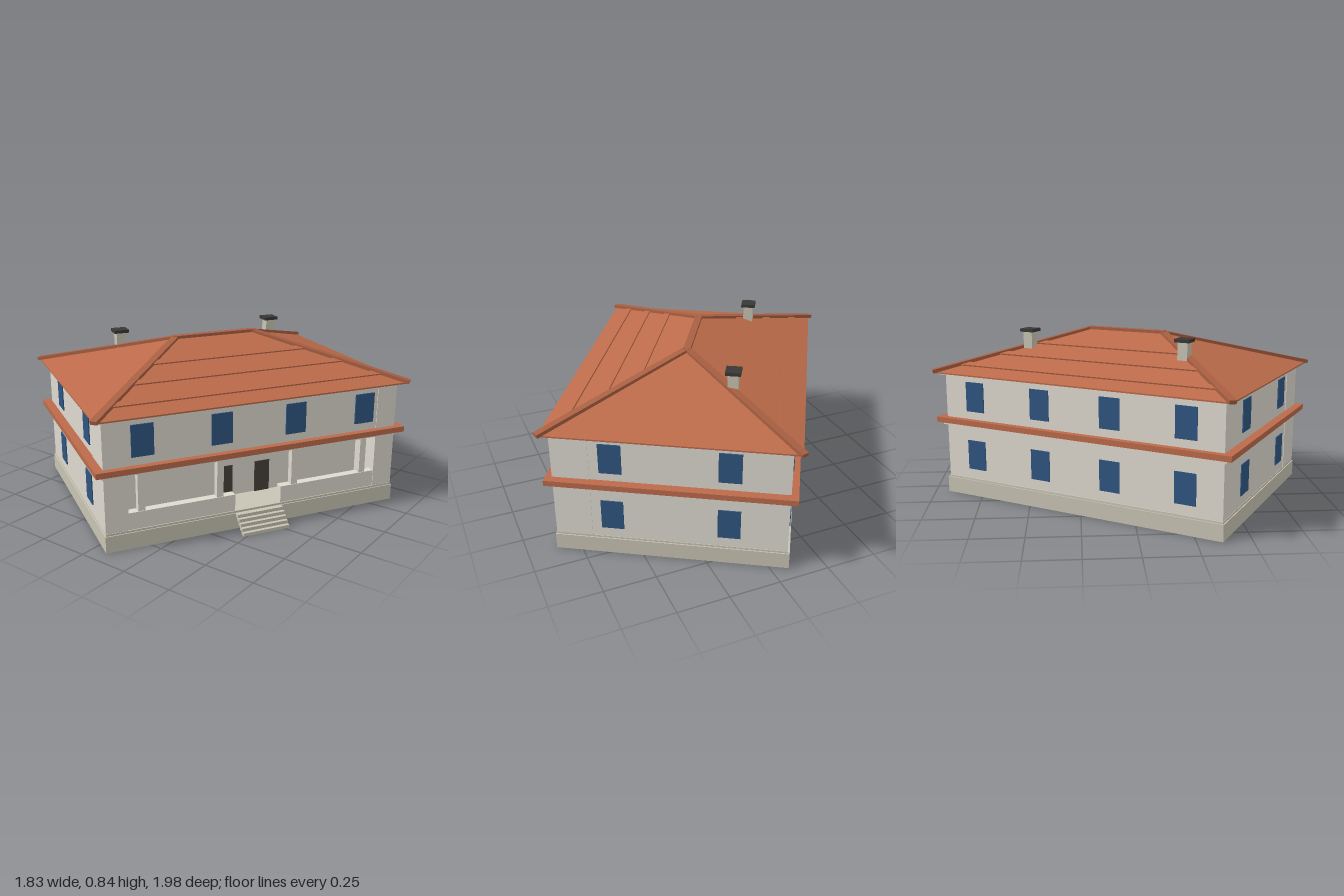
import * as THREE from 'three';

const mat = (color) => new THREE.MeshStandardMaterial({ color, flatShading: true });

export function createModel() {
  const wall = mat(0xdedad0), stone = mat(0xc8c4b4), tile = mat(0xbc6b4a), ridgeTile = mat(0xa85f42);
  const glass = mat(0x2f5580), wood = mat(0x46403a), dark = mat(0x3a3836);
  const house = new THREE.Group();
  house.name = 'house';

  // Box given by its centre in x and z, its bottom and its size
  const box = (name, m, x, y, z, w, h, d) => {
    const mesh = new THREE.Mesh(new THREE.BoxGeometry(w, h, d), m);
    mesh.name = name;
    mesh.position.set(x, y + h / 2, z);
    house.add(mesh);
    return mesh;
  };

  // Square beam between two points
  const beam = (name, m, a, b, w, h) => {
    const mesh = new THREE.Mesh(new THREE.BoxGeometry(w, h, a.distanceTo(b)), m);
    mesh.name = name;
    mesh.position.copy(a).add(b).multiplyScalar(0.5);
    mesh.lookAt(b);
    house.add(mesh);
  };

  // Foundation
  box('foundation', stone, 0, 0, 0, 1.514, 0.08, 1.1);
  box('foundationTop', stone, 0, 0.08, 0, 1.504, 0.01, 1.09);

  // Walls: the ground floor is set back behind the porch
  const HX = 0.75, HZ = 0.54, PORCH = 0.369, WING = 0.645;
  box('groundFloor', wall, 0, 0.09, (PORCH - HZ) / 2, HX * 2, 0.28, HZ + PORCH);
  box('upperFloor', wall, 0, 0.36, 0, HX * 2, 0.265, HZ * 2);
  for (const s of [-1, 1]) {
    box('cornerWing', wall, s * (HX + WING + 0.003) / 2, 0.09, (HZ + PORCH + 0.003) / 2,
      HX - WING + 0.003, 0.53, HZ - PORCH + 0.003);
  }

  // Belt between the floors
  box('beltTrim', wall, 0, 0.36, 0, 1.53, 0.015, 1.11);
  box('beltRoof', tile, 0, 0.373, 0, 1.585, 0.027, 1.147);

  // Porch: parapets, columns and doors
  for (const s of [-1, 1]) {
    box('parapet', wall, s * (WING + 0.12) / 2, 0.09, 0.52, WING - 0.12, 0.083, 0.04);
    for (const x of [0.195, 0.58]) box('porchColumn', wall, s * x, 0.17, 0.52, 0.033, 0.195, 0.033);
    box('door', wood, s * 0.1, 0.09, PORCH, 0.08, 0.16, 0.01);
  }

  // Entrance steps
  for (let i = 0; i < 5; i++) {
    box('step', stone, 0, 0.064 - i * 0.016, 0.557 + i * 0.0175, 0.24, 0.016, 0.03);
  }

  // Windows
  for (const y of [0.14, 0.44]) {
    for (const s of [-1, 1]) {
      for (const x of [0.19, 0.57]) {
        box('backWindow', glass, s * x, y, -HZ, 0.105, 0.15, 0.01);
        if (y > 0.4) box('frontWindow', glass, s * x, y, HZ, 0.105, 0.15, 0.014);
      }
      for (const z of [-0.27, 0.27]) box('sideWindow', glass, s * HX, y, z, 0.01, 0.15, 0.105);
    }
  }

  // Hipped roof: four-sided frustum whose top is pinched to a ridge
  const RX = 0.79, RZ = 0.58, RIDGE = 0.21, EAVE = 0.633, TOP = 0.825;
  box('soffit', wall, 0, 0.62, 0, 1.55, 0.008, 1.13);
  box('eave', tile, 0, 0.626, 0, RX * 2, EAVE - 0.626, RZ * 2);
  const roofGeo = new THREE.BoxGeometry(2, 1, 2).toNonIndexed();
  const p = roofGeo.attributes.position;
  for (let i = 0; i < p.count; i++) {
    const up = p.getY(i) > 0;
    p.setXYZ(i, p.getX(i) * (up ? RIDGE : RX), up ? TOP : EAVE, p.getZ(i) * (up ? 0.001 : RZ));
  }
  roofGeo.computeVertexNormals();
  const roof = new THREE.Mesh(roofGeo, tile);
  roof.name = 'roof';
  house.add(roof);

  // Ridge and hip caps
  const v = (x, y, z) => new THREE.Vector3(x, y, z);
  beam('ridgeCap', ridgeTile, v(-RIDGE - 0.01, TOP, 0), v(RIDGE + 0.01, TOP, 0), 0.035, 0.018);
  for (const sx of [-1, 1]) for (const sz of [-1, 1]) {
    beam('hipCap', ridgeTile, v(sx * 0.795, EAVE + 0.003, sz * 0.585), v(sx * RIDGE, TOP, 0), 0.035, 0.018);
  }

  // Raised tile courses on the long slopes
  const pitch = Math.atan2(TOP - EAVE, RZ);
  for (const s of [-1, 1]) for (const z of [0.2, 0.34, 0.48]) {
    const y = EAVE + (TOP - EAVE) * (1 - z / RZ);
    const course = box('tileCourse', tile, 0, y - 0.005, s * z, (RIDGE + z) * 2, 0.012, 0.035);
    course.rotation.x = s * pitch;
  }

  // Chimneys
  for (const s of [-1, 1]) {
    box('chimney', stone, s * 0.43, 0.7, -0.245, 0.05, 0.122, 0.05);
    box('chimneyCap', dark, s * 0.43, 0.821, -0.245, 0.075, 0.016, 0.073);
  }

  // The house stands turned on its plot
  house.rotation.y = THREE.MathUtils.degToRad(59);
  const model = new THREE.Group();
  model.name = 'villa';
  model.add(house);
  return model;
}
